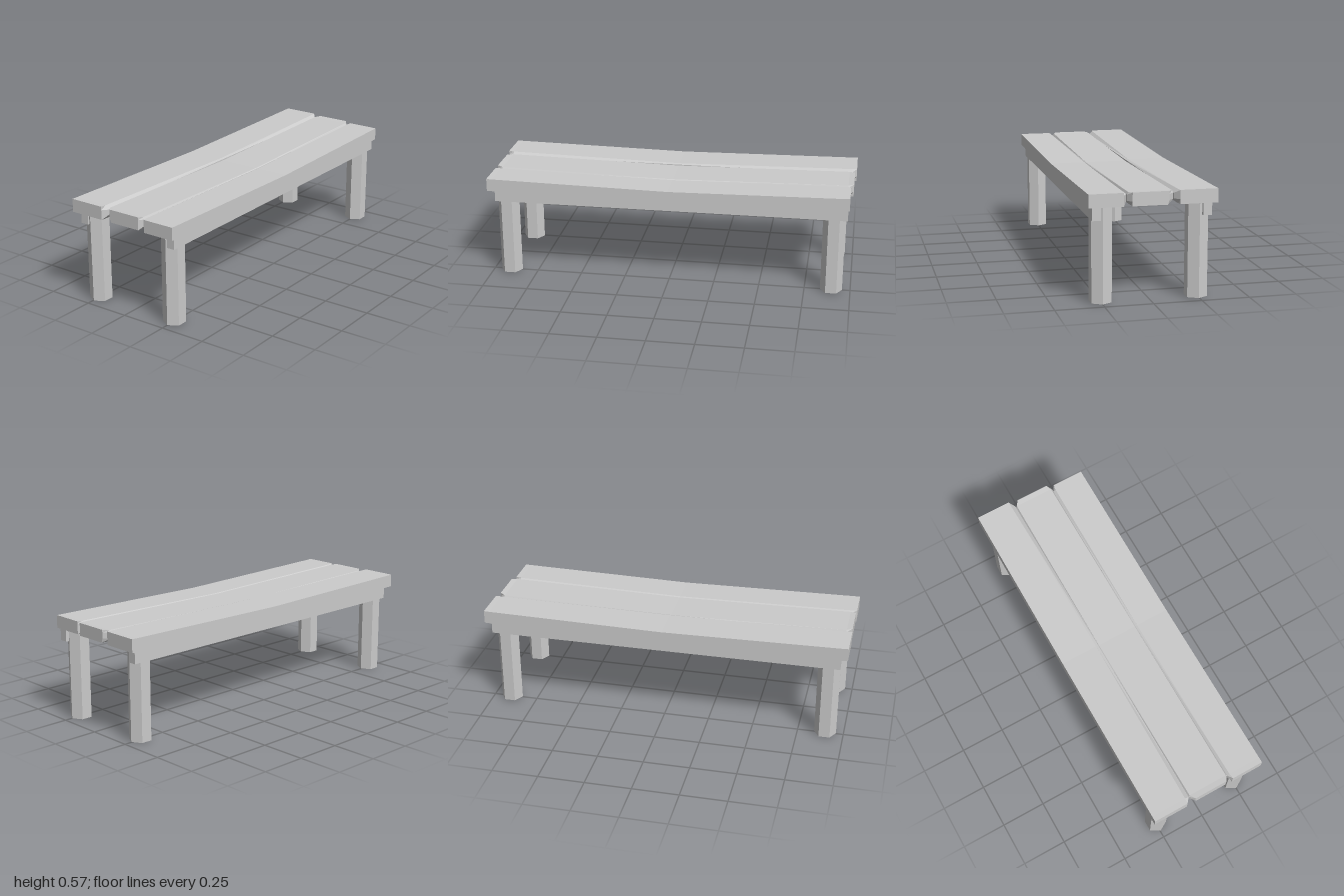
import * as THREE from 'three';

const material = new THREE.MeshStandardMaterial({ color: 0xcccccc, flatShading: true });

// Closed solid through rings of [x, y, z] points, each counter-clockwise seen from +x
function loft(rings) {
  const n = rings[0].length, last = (rings.length - 1) * n, index = [];
  for (let r = 0; r < rings.length - 1; r++) {
    for (let i = 0; i < n; i++) {
      const a = r * n + i, b = r * n + (i + 1) % n;
      index.push(a, b, a + n, b, b + n, a + n);
    }
  }
  for (let i = 1; i < n - 1; i++) {
    index.push(0, i + 1, i, last, last + i, last + i + 1);
  }
  const g = new THREE.BufferGeometry();
  g.setAttribute('position', new THREE.Float32BufferAttribute(rings.flat(2), 3));
  g.setIndex(index);
  const flat = g.toNonIndexed();
  flat.computeVertexNormals();
  return flat;
}

// Sagging plank. front/back: z of the edge at [end, near end, middle] and of its side ridge
function plank({ x0, x1, top, bottom, front, back }) {
  const inset = 0.03;
  const stations = [[x0, 0], [x0 + inset, 1], [0, 2], [x1 - inset, 1], [x1, 0]];
  return loft(stations.map(([x, k]) => {
    const t = top[k], b = bottom[k], h = t - b;
    const hi = Math.min(t - 0.004, 0.55), lo = b + Math.max(0.012, h * 0.35);
    const zf = front.z[k], zb = back.z[k];
    const rf = k ? front.ridge : zf, rb = k ? back.ridge : zb;
    const bf = front.under ?? zf, bb = back.under ?? zb;
    return [
      [x, b, bf], [x, b, bb], [x, lo, rb], [x, hi, rb],
      [x, t, zb], [x, t, zf], [x, hi, rf], [x, lo, rf],
    ];
  }));
}

const straight = (z) => ({ z: [z, z, z], ridge: z });

export function createModel() {
  const bench = new THREE.Group();
  bench.name = 'bench';
  const add = (name, geometry, x = 0, y = 0, z = 0) => {
    const mesh = new THREE.Mesh(geometry, material);
    mesh.name = name;
    mesh.position.set(x, y, z);
    bench.add(mesh);
    return mesh;
  };

  // Three worn seat planks with beveled grooves between them
  add('frontPlank', plank({
    x0: -1, x1: 0.975,
    top: [0.562, 0.561, 0.545], bottom: [0.493, 0.492, 0.472],
    front: straight(0.325), back: { z: [0.147, 0.143, 0.14], ridge: 0.13 },
  }));
  add('middlePlank', plank({
    x0: -0.997, x1: 0.99,
    top: [0.565, 0.562, 0.545], bottom: [0.496, 0.495, 0.454],
    front: { z: [0.108, 0.122, 0.125], ridge: 0.13, under: 0.108 },
    back: { z: [-0.078, -0.098, -0.1], ridge: -0.105, under: -0.07 },
  }));
  add('backPlank', plank({
    x0: -1, x1: 1,
    top: [0.569, 0.568, 0.553], bottom: [0.498, 0.497, 0.478],
    front: { z: [-0.13, -0.128, -0.118], ridge: -0.105 }, back: straight(-0.325),
  }));

  // Long rails under the outer planks
  add('frontRail', new THREE.BoxGeometry(1.93, 0.065, 0.045), 0.003, 0.46, 0.283);
  add('backRail', new THREE.BoxGeometry(1.93, 0.068, 0.045), 0.003, 0.463, -0.282);

  // Six-sided legs with flat faces to front and back
  for (const [side, x] of [['left', 0.896], ['right', -0.9]]) {
    for (const [end, z] of [['Front', 0.249], ['Back', -0.246]]) {
      const leg = new THREE.CylinderGeometry(0.06, 0.06, 0.493, 6);
      leg.rotateY(Math.PI / 2);
      add(`${side}${end}Leg`, leg, x, 0.2465, z);
    }
  }
  return bench;
}
